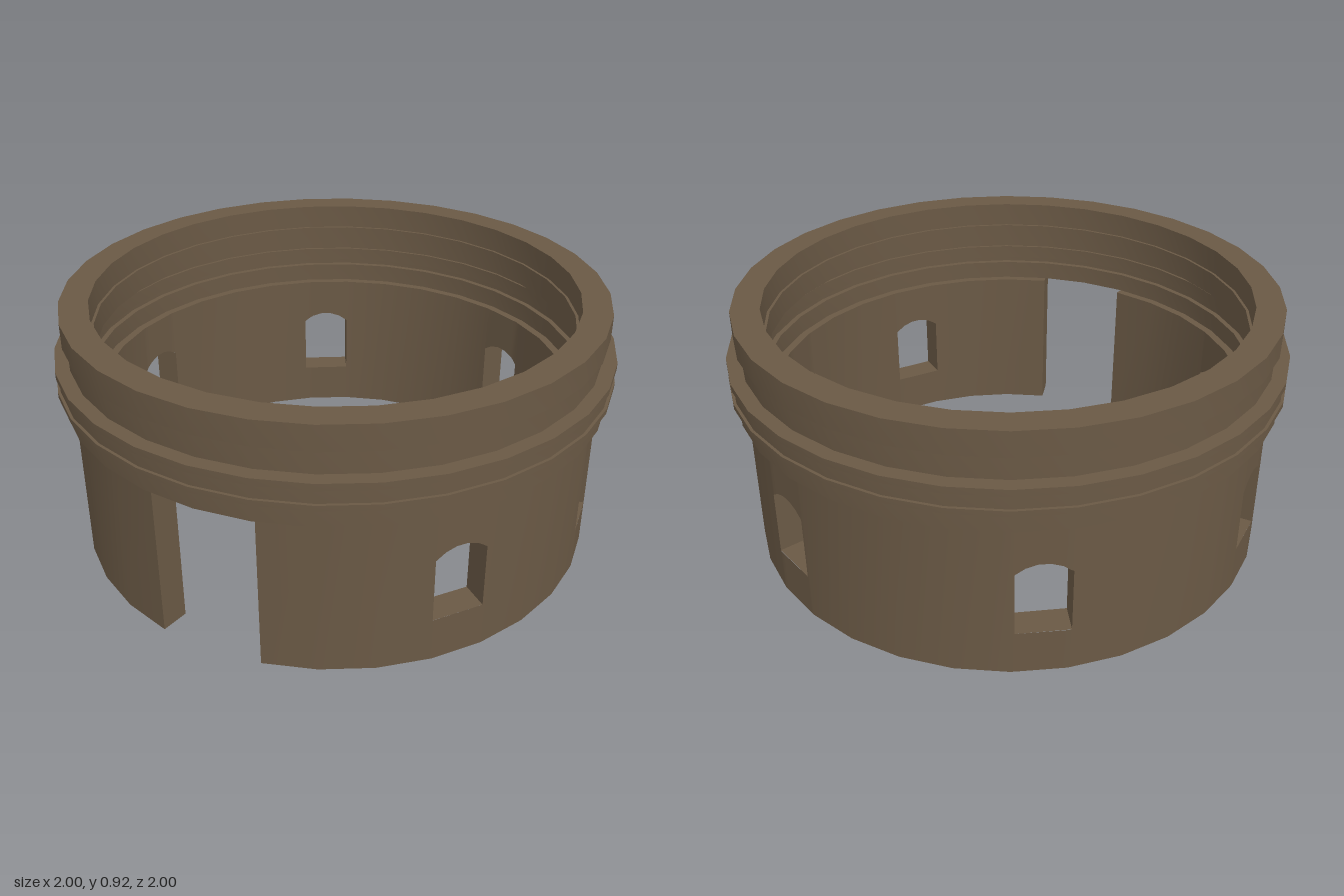
import * as THREE from 'three';
import { toCreasedNormals } from 'three/addons/utils/BufferGeometryUtils.js';

const SIDES = 32, STEP = (Math.PI * 2) / SIDES;
const OUTER = 0.95, INNER = 0.85, WALL_TOP = 0.58, SILL = 0.16;
const RAD = Math.PI / 180;

// Window centres, as angles from the front towards +x
const WINDOWS = [50.4, 95.5, 151.2, 208.8, 264.5, 309.2].map((d) => d * RAD);
// Segmental arch over each window: [sideways offset, height]
const ARCH = [[-0.092, 0.395], [-0.058, 0.418], [-0.02, 0.43], [0.02, 0.43], [0.058, 0.418], [0.092, 0.395]];

// Point on the many-sided wall at a given angle and height
function wallPoint(r, a, y) {
  const local = a - Math.floor(a / STEP + 1e-6) * STEP;
  const d = (r * Math.cos(STEP / 2)) / Math.cos(local - STEP / 2);
  return [d * Math.sin(a), y, d * Math.cos(a)];
}

function archHeight(s) {
  for (let i = 1; i < ARCH.length; i++) {
    const [s0, y0] = ARCH[i - 1], [s1, y1] = ARCH[i];
    if (s <= s1 + 1e-6) return y0 + ((y1 - y0) * (s - s0)) / (s1 - s0);
  }
  return ARCH[ARCH.length - 1][1];
}

function wallGeometry() {
  const pos = [];
  const quad = (a, b, c, d) => pos.push(...a, ...b, ...c, ...a, ...c, ...d);
  const facets = [];
  for (let i = 1; i < SIDES; i++) facets.push(i * STEP); // first and last facets are the doorway

  // Outer and inner skins, in columns that part around the windows
  for (const r of [OUTER, INNER]) {
    const angleAt = (c, s) => c + Math.asin(s / r);
    const cuts = [...facets];
    for (const c of WINDOWS) for (const [s] of ARCH) cuts.push(angleAt(c, s));
    cuts.sort((a, b) => a - b);
    const panel = (a, b, a0, b0, a1, b1) => {
      const p = [wallPoint(r, a, a0), wallPoint(r, b, b0), wallPoint(r, b, b1), wallPoint(r, a, a1)];
      if (r === INNER) p.reverse();
      quad(...p);
    };
    for (let i = 1; i < cuts.length; i++) {
      const a = cuts[i - 1], b = cuts[i];
      if (b - a < 1e-6) continue;
      const half = Math.asin(ARCH[5][0] / r);
      const c = WINDOWS.find((w) => Math.abs((a + b) / 2 - w) < half);
      if (c === undefined) {
        panel(a, b, 0, 0, WALL_TOP, WALL_TOP);
      } else {
        panel(a, b, 0, 0, SILL, SILL);
        panel(a, b, archHeight(r * Math.sin(a - c)), archHeight(r * Math.sin(b - c)), WALL_TOP, WALL_TOP);
      }
    }
  }

  // Window sills, jambs and arch undersides
  const loop = [[ARCH[0][0], SILL], [ARCH[5][0], SILL], ...[...ARCH].reverse()];
  for (const c of WINDOWS) {
    const at = (r, [s, y]) => wallPoint(r, c + Math.asin(s / r), y);
    loop.forEach((p, i) => {
      const q = loop[(i + 1) % loop.length];
      quad(at(OUTER, p), at(OUTER, q), at(INNER, q), at(INNER, p));
    });
  }

  // Top and bottom edges
  for (let i = 1; i < facets.length; i++) {
    const a = facets[i - 1], b = facets[i];
    const edge = (y) => [wallPoint(OUTER, a, y), wallPoint(OUTER, b, y), wallPoint(INNER, b, y), wallPoint(INNER, a, y)];
    quad(...edge(WALL_TOP));
    quad(...edge(0).reverse());
  }

  // Doorway jambs
  const jamb = (a) => [wallPoint(INNER, a, 0), wallPoint(OUTER, a, 0), wallPoint(OUTER, a, WALL_TOP), wallPoint(INNER, a, WALL_TOP)];
  quad(...jamb(facets[0]));
  quad(...jamb(facets[facets.length - 1]).reverse());

  const g = new THREE.BufferGeometry();
  g.setAttribute('position', new THREE.Float32BufferAttribute(pos, 3));
  return toCreasedNormals(g, 0.5);
}

// Closed ring of rectangular section
function ringGeometry(r0, r1, y0, y1) {
  const section = [[r0, y0], [r1, y0], [r1, y1], [r0, y1], [r0, y0]].map(([r, y]) => new THREE.Vector2(r, y));
  return toCreasedNormals(new THREE.LatheGeometry(section, SIDES), 0.5);
}

export function createModel() {
  const model = new THREE.Group();
  model.name = 'roundTower';
  const stone = new THREE.MeshStandardMaterial({ color: 0x6a5945 });
  stone.name = 'brownStone';
  const add = (name, geometry) => {
    const mesh = new THREE.Mesh(geometry, stone);
    mesh.name = name;
    model.add(mesh);
  };

  add('wall', wallGeometry());

  // Stacked mouldings: name, inner radius, outer radius, bottom, top
  const rings = [
    ['corbelRing', 0.88, 0.98, 0.58, 0.65],
    ['lowerCorniceRing', 0.9, 1.0, 0.65, 0.67],
    ['corniceGroove', 0.89, 0.99, 0.67, 0.72],
    ['upperCorniceRing', 0.9, 1.0, 0.72, 0.745],
    ['neckRing', 0.855, 0.95, 0.745, 0.83],
    ['copingRing', 0.865, 0.967, 0.83, 0.92],
  ];
  for (const [name, ...size] of rings) add(name, ringGeometry(...size));
  return model;
}
